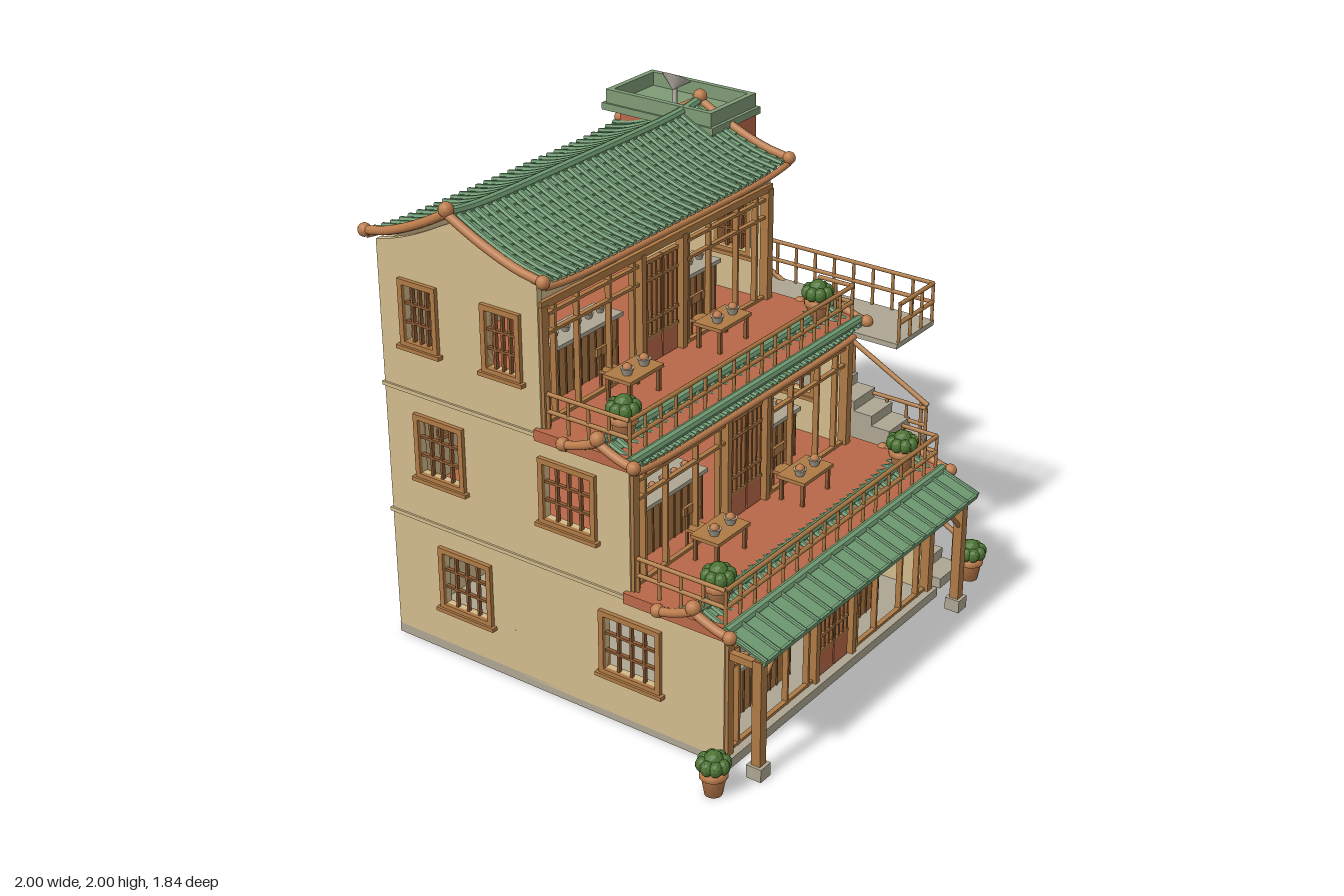
import * as THREE from 'three';

const mat = (name, color, side = THREE.FrontSide, flatShading = false) => {
  const m = new THREE.MeshStandardMaterial({ color, side, flatShading });
  m.name = name;
  return m;
};

export function createModel() {
  const root = new THREE.Group();
  root.name = 'teaHouse';
  const cream = mat('cream plaster', 0xd2bb8c), wood = mat('timber', 0xae7a45), dark = mat('dark timber', 0x8c5a33),
    red = mat('terracotta', 0xb96848), green = mat('roof tile', 0x6f9a72, THREE.DoubleSide, true), cap = mat('cap green', 0x7f9a76),
    stone = mat('stone', 0xaea693), clay = mat('clay', 0xbc7c4c), leaf = mat('leaf', 0x4c7434, THREE.FrontSide, true),
    metal = mat('pale metal', 0xbcb5aa, THREE.DoubleSide);
  const CX = -0.035, V = (x, y, z) => new THREE.Vector3(x, y, z);

  const add = (p, name, geo, m, x = 0, y = 0, z = 0) => {
    const o = new THREE.Mesh(geo, m);
    o.name = name;
    o.position.set(x, y, z);
    p.add(o);
    return o;
  };
  // box given by its limits
  const box = (p, name, m, x0, x1, y0, y1, z0, z1) =>
    add(p, name, new THREE.BoxGeometry(x1 - x0, y1 - y0, z1 - z0), m, (x0 + x1) / 2, (y0 + y1) / 2, (z0 + z1) / 2);
  const rod = (p, name, m, a, b, r) => {
    const d = b.clone().sub(a), o = add(p, name, new THREE.CylinderGeometry(r, r, d.length(), 8), m);
    o.position.copy(a).addScaledVector(d, 0.5);
    o.quaternion.setFromUnitVectors(V(0, 1, 0), d.normalize());
    return o;
  };
  const tube = (p, name, m, pts, r, sides = 8) =>
    add(p, name, new THREE.TubeGeometry(new THREE.CatmullRomCurve3(pts), pts.length * 2, r, sides), m);
  const group = (name, p = root) => {
    const g = new THREE.Group();
    g.name = name;
    p.add(g);
    return g;
  };

  // framed lattice window centred on its group
  const lattice = (p, name, w, h, nx, ny, x, y, z, turn = 0) => {
    const g = group(name, p), f = 0.022, d = 0.022;
    for (const s of [-1, 1]) {
      box(g, 'jamb', wood, s * (w / 2 + f / 2) - f / 2, s * (w / 2 + f / 2) + f / 2, -h / 2 - f, h / 2 + f, -d, d);
      box(g, 'rail', wood, -w / 2, w / 2, s * (h / 2 + f / 2) - f / 2, s * (h / 2 + f / 2) + f / 2, -d, d);
    }
    box(g, 'sill', wood, -w / 2 - 0.035, w / 2 + 0.035, -h / 2 - 0.034, -h / 2 - 0.018, -0.032, 0.032);
    for (let i = 1; i <= nx; i++) box(g, 'bar', dark, -w / 2 + w * i / (nx + 1) - 0.005, -w / 2 + w * i / (nx + 1) + 0.005, -h / 2, h / 2, -0.008, 0.008);
    for (let i = 1; i <= ny; i++) box(g, 'bar', dark, -w / 2, w / 2, -h / 2 + h * i / (ny + 1) - 0.005, -h / 2 + h * i / (ny + 1) + 0.005, -0.008, 0.008);
    g.position.set(x, y, z);
    g.rotation.y = turn;
  };
  // wall with rectangular holes [u, v, w, h]
  const wall = (name, u0, u1, y0, y1, holes) => {
    const rect = (P, a, b, c, d) => P.moveTo(a, c).lineTo(b, c).lineTo(b, d).lineTo(a, d).closePath();
    const s = rect(new THREE.Shape(), u0, u1, y0, y1);
    for (const [u, v, w, h] of holes) s.holes.push(rect(new THREE.Path(), u - w / 2, u + w / 2, v - h / 2, v + h / 2));
    return add(root, name, new THREE.ExtrudeGeometry(s, { depth: 0.025, bevelEnabled: false }), cream);
  };

  // curved tiled roof: stepped sheet, rolls, ridge, verge tubes and end balls
  const XL = -0.805, XR = 0.755, XM = (XL + XR) / 2, XH = (XR - XL) / 2;
  const roofY = (r, t, x) => r.y0 + (r.y1 - r.y0) * Math.pow(t, 1.5) + r.lift * Math.pow(Math.abs((x - XM) / XH), 6);
  const roof = (name, r) => {
    const g = group(name), N = 24;
    for (const ze of [r.zf, r.zb]) {
      const pos = [], idx = [], lines = [];
      for (let k = 0; k < r.rows; k++) lines.push([k / r.rows, 0.009], [(k + 1) / r.rows, 0]);
      for (const [t, dy] of lines) for (let i = 0; i <= N; i++) {
        const x = XL + (XR - XL) * i / N;
        pos.push(x, roofY(r, t, x) + dy, ze + (r.zr - ze) * t);
      }
      for (let j = 0; j < lines.length - 1; j++) for (let i = 0; i < N; i++) {
        const a = j * (N + 1) + i, b = a + N + 1;
        ze === r.zf ? idx.push(a, a + 1, b, a + 1, b + 1, b) : idx.push(a, b, a + 1, a + 1, b, b + 1);
      }
      const geo = new THREE.BufferGeometry();
      geo.setAttribute('position', new THREE.Float32BufferAttribute(pos, 3));
      geo.setIndex(idx);
      geo.computeVertexNormals();
      add(g, 'tileSheet', geo, green);
      const slope = (x, dy) => [0, 0.25, 0.5, 0.75, 1].map(t => V(x, roofY(r, t, x) + dy, ze + (r.zr - ze) * t));
      for (let i = 1; i < 32; i++) tube(g, 'tileRoll', green, slope(XL + (XR - XL) * i / 32, 0.01), 0.011, 6);
      for (const x of [XL, XR]) {
        tube(g, 'vergeTube', clay, slope(x, 0.01), 0.018);
        add(g, 'vergeBall', new THREE.SphereGeometry(0.027, 12, 8), clay, x, roofY(r, 0, x) + 0.01, ze);
      }
      const along = [...Array(17)].map((_, i) => XL + (XR - XL) * i / 16);
      tube(g, 'eaveTube', clay, along.map(x => V(x, roofY(r, 0, x) - 0.012, ze)), 0.013);
      if (ze === r.zf) tube(g, 'ridgeTube', green, along.map(x => V(x, roofY(r, 1, x) + 0.012, r.zr)), 0.02);
    }
    for (const x of [XL, XR]) add(g, 'ridgeBall', new THREE.SphereGeometry(0.03, 12, 8), clay, x, roofY(r, 1, x) + 0.025, r.zr);
  };
  const main = { y0: 1.71, y1: 1.868, zr: -0.49, zf: -0.05, zb: -0.9, lift: 0.025, rows: 9 };
  roof('mainRoof', main);

  // gable ends under the main roof
  for (const x of [-0.755, 0.7]) {
    const s = new THREE.Shape([new THREE.Vector2(-0.87, 1.69), new THREE.Vector2(-0.1, 1.69)]);
    for (let i = 0; i <= 12; i++) {
      const z = -0.1 - 0.77 * i / 12, e = z > main.zr ? main.zf : main.zb;
      s.lineTo(z, roofY(main, (z - e) / (main.zr - e), XM) - 0.004);
    }
    const o = add(root, 'gable', new THREE.ExtrudeGeometry(s, { depth: 0.025, bevelEnabled: false }), cream, x);
    o.rotation.y = -Math.PI / 2;
  }

  const pot = (x, y, z) => {
    const g = group('pottedPlant');
    const prof = [[0, 0], [0.034, 0], [0.047, 0.075], [0.054, 0.075], [0.054, 0.098], [0.042, 0.098], [0, 0.09]];
    add(g, 'pot', new THREE.LatheGeometry(prof.map(p => new THREE.Vector2(...p)), 14), clay);
    for (let i = 0; i < 9; i++) {
      const a = i * Math.PI * 2 / 8, r = i < 8 ? 0.042 : 0;
      add(g, 'leaves', new THREE.IcosahedronGeometry(i < 8 ? 0.026 : 0.04, 1), leaf, Math.cos(a) * r, 0.13 + (r ? 0 : 0.006), Math.sin(a) * r).scale.y = 1.2;
    }
    g.position.set(x, y, z);
  };
  const bowl = (p, x, y, z, r) => {
    add(p, 'bowl', new THREE.CylinderGeometry(r, r * 0.6, r, 12), stone, x, y + r / 2, z);
    add(p, 'bowlLid', new THREE.SphereGeometry(r * 0.7, 10, 6), clay, x, y + r, z);
  };
  // railing between two points at floor height
  const railing = (a, b, h = 0.14) => {
    const g = group('railing'), n = Math.max(1, Math.round(a.distanceTo(b) / 0.095));
    for (let i = 0; i <= n; i++) {
      const p = a.clone().lerp(b, i / n);
      rod(g, 'post', wood, p, p.clone().setY(p.y + h), 0.007);
    }
    for (const k of [0.5, 1]) rod(g, 'rail', wood, a.clone().setY(a.y + h * k), b.clone().setY(b.y + h * k), 0.009);
  };

  // storeys: floor b, wall limits y0..y1, front z, left side windows [z, width]
  const storeys = [
    { b: 0.04, y0: 0.03, y1: 0.565, z: 0.72, side: [[0.3, 0.24], [-0.5, 0.22]] },
    { b: 0.595, y0: 0.565, y1: 1.115, z: 0.3, side: [[0.02, 0.22], [-0.6, 0.2]] },
    { b: 1.145, y0: 1.115, y1: 1.7, z: -0.1, side: [[-0.27, 0.14], [-0.67, 0.14]] }];
  storeys.forEach(({ b, y0, y1, z, side }, f) => {
    // back wall
    const backs = f ? [[-0.36, b + 0.31, 0.31, 0.21], [0.31, b + 0.31, 0.31, 0.21]]
      : [[-0.39, b + 0.31, 0.22, 0.2], [0.34, 0.245, 0.17, 0.37]];
    wall('backWall', -0.78, 0.7, y0, y1, backs).position.z = -0.87;
    for (const [u, v, w, h] of backs) lattice(root, h > 0.3 ? 'backDoor' : 'backWindow', w, h, 3, 2, u, v, -0.865);
    // side walls
    for (const s of [-1, 1]) {
      const holes = (s < 0 ? side : side.slice(0, 1)).map(([u, w]) => [u, b + 0.3, w, 0.23]);
      const o = wall('sideWall', -0.87, z, y0, y1, holes);
      o.rotation.y = -Math.PI / 2;
      o.position.x = s < 0 ? -0.755 : 0.7;
      for (const [u, v, w, h] of holes) lattice(root, 'sideWindow', w, h, 3, 2, s < 0 ? -0.775 : 0.695, v, u, Math.PI / 2);
    }
    if (f) {
      box(root, 'backBand', cream, -0.788, 0.7, y0 - 0.008, y0 + 0.008, -0.878, -0.86);
      box(root, 'sideBand', cream, -0.788, -0.77, y0 - 0.008, y0 + 0.008, -0.878, z);
    }
    // open timber front
    const g = group('shopFront'), top = b + 0.46;
    box(g, 'header', cream, -0.77, 0.7, top, y1, z - 0.03, z - 0.005);
    box(g, 'topBeam', wood, -0.77, 0.7, top + 0.01, top + 0.04, z - 0.03, z + 0.012);
    for (const k of [0.008, 0.36, 0.435]) for (const s of [-1, 1])
      box(g, 'crossBar', wood, CX + s * 0.425 - 0.295, CX + s * 0.425 + 0.295, b + k - 0.006, b + k + 0.006, z - 0.02, z);
    for (const s of [-1, 1]) {
      for (const [o, w] of [[0.72, 0.036], [0.132, 0.026], [0.645, 0.012], [0.51, 0.01], [0.32, 0.01], [0.175, 0.012]])
        box(g, 'upright', wood, CX + s * o - w / 2, CX + s * o + w / 2, b, top + 0.02, z - 0.025, z + (w > 0.02 ? 0.014 : 0));
      // door leaf
      const x = CX + s * 0.052;
      for (const o of [-0.044, -0.015, 0.015, 0.044]) box(g, 'doorBar', dark, x + o - 0.005, x + o + 0.005, b + 0.11, b + 0.44, z - 0.015, z);
      for (const k of [0.12, 0.19, 0.36, 0.435]) box(g, 'doorRail', wood, x - 0.05, x + 0.05, b + k - 0.007, b + k + 0.007, z - 0.018, z + 0.003);
      box(g, 'doorPanel', red, x - 0.048, x + 0.048, b + 0.01, b + 0.115, z - 0.018, z + 0.001);
      // counter with bowls
      const c = CX + s * 0.325, cz = z - 0.16;
      box(g, 'counter', wood, c - 0.18, c + 0.18, b, b + 0.205, cz - 0.06, cz + 0.05);
      for (let i = 0; i <= 8; i++) box(g, 'counterSlat', dark, c - 0.18 + i * 0.045 - 0.003, c - 0.177 + i * 0.045, b, b + 0.205, cz + 0.05, cz + 0.055);
      box(g, 'counterTop', stone, c - 0.195, c + 0.195, b + 0.205, b + 0.222, cz - 0.075, cz + 0.07);
      for (let i = -2; i <= 2; i++) bowl(g, c + i * 0.07, b + 0.222, cz, 0.02);
      if (!f) box(g, 'hood', stone, CX + s * 0.25 - 0.09, CX + s * 0.25 + 0.09, 0.41, 0.49, 0.25, 0.45);
    }
    // terrace in front of the upper storeys
    if (!f) return;
    const ze = storeys[f - 1].z;
    box(root, 'innerFloor', red, -0.76, 0.68, b - 0.045, b, -0.85, z);
    box(root, 'terraceFloor', red, -0.8, 0.75, b - 0.045, b, z - 0.02, ze + 0.005);
    roof('terraceEave', { y0: b - 0.047, y1: b + 0.006, zr: ze - 0.12, zf: ze + 0.04, zb: ze - 0.28, lift: 0.022, rows: 3 });
    rod(root, 'terraceLip', green, V(-0.79, b - 0.008, ze + 0.013), V(0.74, b - 0.008, ze + 0.013), 0.02);
    railing(V(-0.76, b, ze - 0.01), V(0.72, b, ze - 0.01));
    railing(V(-0.76, b, ze - 0.01), V(-0.76, b, z + 0.02));
    railing(V(0.72, b, ze - 0.01), V(0.72, b, ze - 0.17));
    for (const x of [-0.67, 0.61]) pot(x, b, ze - 0.105);
    for (const x of [-0.36, 0.22]) {
      const t = group('tableSet'), zt = z - 0.195 + 0.4 * 0.5 + 0.1;
      box(t, 'tableTop', wood, x - 0.105, x + 0.105, b + 0.095, b + 0.11, zt - 0.065, zt + 0.065);
      for (const i of [-1, 1]) {
        for (const j of [-1, 1]) box(t, 'tableLeg', dark, x + i * 0.09 - 0.007, x + i * 0.09 + 0.007, b, b + 0.095, zt + j * 0.05 - 0.007, zt + j * 0.05 + 0.007);
        bowl(t, x + i * 0.052, b + 0.11, zt + 0.01, 0.028);
        box(t, 'chairLeg', dark, x + i * 0.032 - 0.005, x + i * 0.032 + 0.005, b, b + 0.17, zt - 0.135, zt - 0.125);
      }
      box(t, 'chairSeat', wood, x - 0.038, x + 0.038, b + 0.07, b + 0.082, zt - 0.135, zt - 0.06);
      box(t, 'chairBack', wood, x - 0.055, x + 0.055, b + 0.14, b + 0.175, zt - 0.138, zt - 0.126);
    }
  });
  for (const x of [-0.935, 0.93]) pot(x, 0, 0.785);
  box(root, 'plinth', stone, -0.78, 0.72, 0, 0.04, -0.872, 0.75);

  // porch awning on posts
  const porch = group('porch'), slope = Math.atan2(0.06, 0.175);
  const awn = group('awning', porch);
  awn.position.set(CX, 0.555, 0.818);
  awn.rotation.x = slope;
  box(awn, 'awningSheet', green, -0.76, 0.76, -0.008, 0.006, -0.093, 0.093);
  for (let i = 0; i <= 18; i++) rod(awn, 'awningRib', green, V(-0.756 + i * 0.084, 0.007, -0.093), V(-0.756 + i * 0.084, 0.007, 0.095), 0.01);
  box(awn, 'awningEdge', green, -0.762, 0.762, -0.018, 0.01, 0.086, 0.096);
  box(porch, 'porchBeam', wood, -0.77, 0.7, 0.49, 0.52, 0.845, 0.87);
  for (const s of [-1, 1]) {
    const x = CX + s * 0.72;
    box(porch, 'postBase', stone, x - 0.032, x + 0.032, 0, 0.055, 0.825, 0.89);
    box(porch, 'porchPost', wood, x - 0.02, x + 0.02, 0.055, 0.5, 0.838, 0.877);
    rod(porch, 'brace', wood, V(x, 0.38, 0.858), V(x - s * 0.11, 0.495, 0.858), 0.01);
    box(porch, 'tieBeam', wood, x - 0.014, x + 0.014, 0.46, 0.49, 0.72, 0.86);
  }

  // stair tower with parapet and dish
  box(root, 'towerBase', stone, 0.7, 0.95, 0, 0.025, -0.865, -0.335);
  box(root, 'tower', red, 0.7, 0.945, 0.025, 1.82, -0.86, -0.34);
  const para = group('parapet');
  box(para, 'parapetFloor', cap, 0.615, 0.957, 1.82, 1.85, -0.89, -0.328);
  for (const [x0, x1, z0, z1] of [[0.625, 0.65, -0.875, -0.343], [0.92, 0.945, -0.875, -0.343], [0.65, 0.92, -0.875, -0.85], [0.65, 0.92, -0.368, -0.343]])
    box(para, 'parapetWall', cap, x0, x1, 1.85, 1.908, z0, z1);
  rod(para, 'dishMast', metal, V(0.76, 1.85, -0.62), V(0.76, 1.93, -0.62), 0.01);
  const dish = add(para, 'dish', new THREE.ConeGeometry(0.064, 0.055, 16, 1, true), metal, 0.758, 1.945, -0.62);
  dish.quaternion.setFromUnitVectors(V(0, -1, 0), V(0.5, 0.86, 0).normalize());
  for (const [x, y, w, h, z] of [[0.795, 1.43, 0.1, 0.14, -0.345], [0.775, 1.2, 0.05, 0.17, -0.855], [0.885, 0.33, 0.05, 0.23, -0.855], [0.775, 0.86, 0.05, 0.12, -0.345]]) {
    lattice(root, 'towerWindow', w, h, 1, 1, x, y, z);
    box(root, 'towerPane', red, x - w / 2, x + w / 2, y - h / 2, y + h / 2, z - 0.006, z + 0.006);
  }

  // two solid stair flights, landings and handrails
  const flight = (name, z0, z1, y0, y1) => {
    const g = group(name), n = 12, d = (z0 - z1) / n, r = (y1 - y0) / n;
    for (let i = 0; i < n; i++) box(g, 'step', stone, 0.78, 0.945, y0, y0 + (i + 1) * r, z0 - (i + 1) * d, z0 - i * d);
    rod(g, 'handrail', wood, V(0.938, y0 + 0.17, z0), V(0.938, y1 + 0.18, z1), 0.011);
    for (const k of [0.03, 0.35, 0.68, 0.98]) {
      const z = z0 + (z1 - z0) * k, y = y0 + (y1 - y0) * k;
      rod(g, 'handrailPost', wood, V(0.938, y, z), V(0.938, y + 0.17, z), 0.008);
    }
  };
  flight('lowerFlight', 0.73, -0.32, 0, 0.545);
  flight('upperFlight', 0.54, -0.5, 0.565, 1.095);
  box(root, 'lowerLanding', stone, 0.7, 0.95, 0.54, 0.565, -0.5, 0.54);
  box(root, 'upperLanding', stone, 0.66, 0.95, 1.095, 1.117, -0.62, 0.54);
  railing(V(0.94, 1.117, 0.535), V(0.94, 1.117, -0.5), 0.165);
  railing(V(0.68, 1.117, 0.535), V(0.94, 1.117, 0.535), 0.165);
  railing(V(0.935, 0.565, 0.535), V(0.935, 0.565, -0.31), 0.155);
  return root;
}
